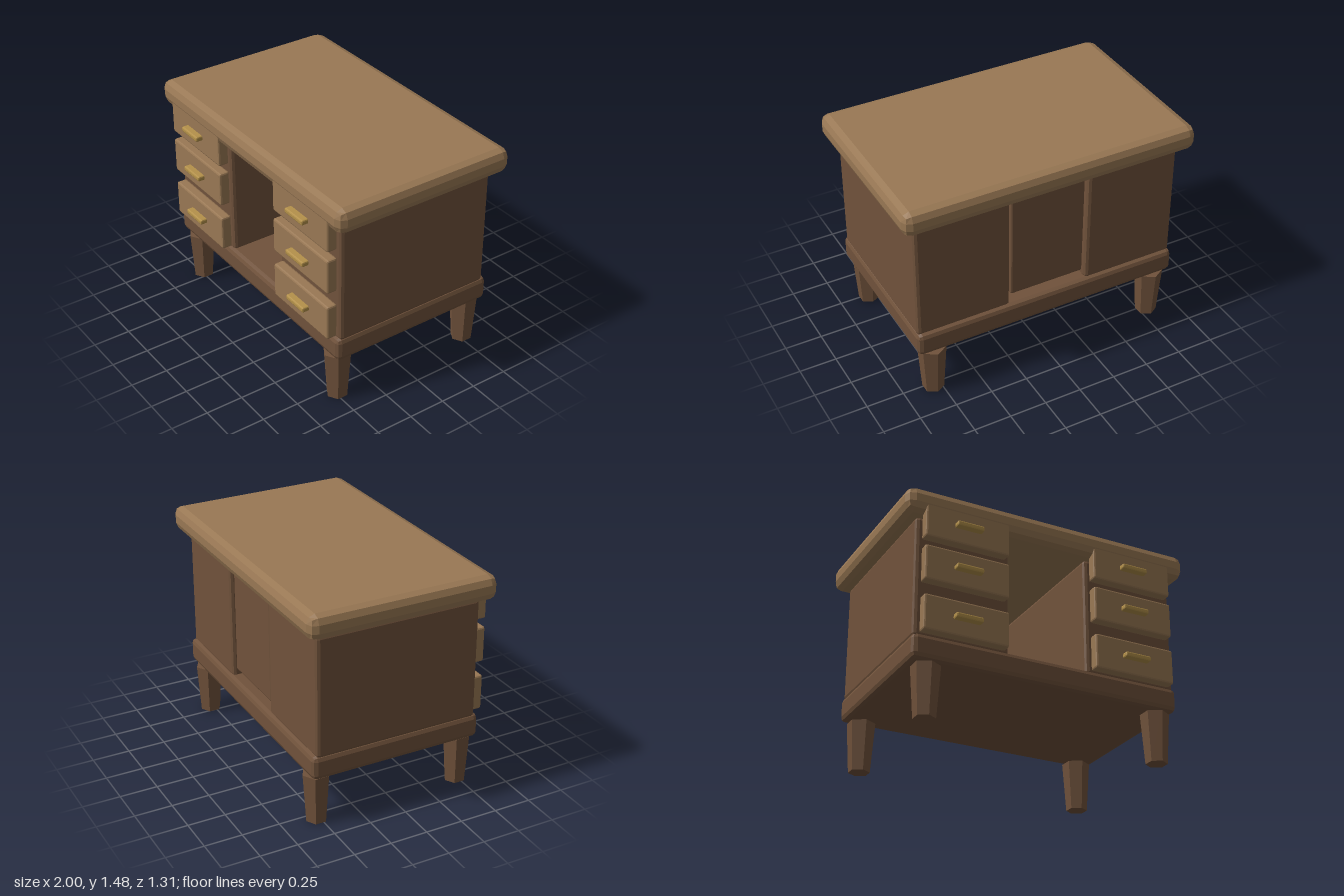
import * as THREE from 'three';
import { RoundedBoxGeometry } from 'three/addons/geometries/RoundedBoxGeometry.js';

const material = (name, color) => {
  const m = new THREE.MeshStandardMaterial({ color });
  m.name = name;
  return m;
};

// Unshared vertices give every facet its own flat normal
function faceted(geometry) {
  const g = geometry.index ? geometry.toNonIndexed() : geometry;
  g.computeVertexNormals();
  return g;
}

export function createModel() {
  const lightWood = material('light wood', 0x997854);
  const darkWood = material('dark wood', 0x70523b);
  const brass = material('brass', 0xb4914a);
  const desk = new THREE.Group();
  desk.name = 'desk';

  // Box with a two-step bevel, given by its extents on each axis
  function block(name, mat, [x0, x1], [y0, y1], [z0, z1], bevel, parent = desk) {
    const g = new RoundedBoxGeometry(x1 - x0, y1 - y0, z1 - z0, 1, bevel);
    const mesh = new THREE.Mesh(faceted(g), mat);
    mesh.position.set((x0 + x1) / 2, (y0 + y1) / 2, (z0 + z1) / 2);
    mesh.name = name;
    parent.add(mesh);
  }

  // Top, plinth and the panel closing the knee space at the back
  block('desktop', lightWood, [-1, 1], [1.312, 1.475], [-0.655, 0.615], 0.055);
  block('plinth', darkWood, [-0.92, 0.92], [0.348, 0.508], [-0.6, 0.565], 0.032);
  block('backPanel', darkWood, [-0.258, 0.258], [0.56, 1.3], [-0.555, -0.515], 0.012);

  // Hexagonal tapered leg, shared by all four corners
  const legGeometry = faceted(new THREE.CylinderGeometry(0.093, 0.07, 0.335, 6));

  for (const [side, s] of [['left', 1], ['right', -1]]) {
    const span = (a, b) => (s > 0 ? [a, b] : [-b, -a]);

    const pedestal = new THREE.Group();
    pedestal.name = side + 'Pedestal';
    desk.add(pedestal);
    block('cabinet', darkWood, span(0.272, 0.912), [0.49, 1.305], [-0.572, 0.54], 0.024, pedestal);

    // Drawer fronts with bar handles
    for (const y of [0.633, 0.967, 1.262]) {
      block('drawerFront', lightWood, span(0.305, 0.875), [y - 0.118, y + 0.118], [0.54, 0.612], 0.012, pedestal);
      block('drawerHandle', brass, span(0.5, 0.682), [y - 0.017, y + 0.017], [0.6, 0.657], 0.009, pedestal);
    }

    for (const [end, z] of [['Front', 0.484], ['Back', -0.52]]) {
      const leg = new THREE.Mesh(legGeometry, darkWood);
      leg.name = side + end + 'Leg';
      leg.position.set(s * 0.8, 0.1675, z);
      desk.add(leg);
    }
  }
  return desk;
}
